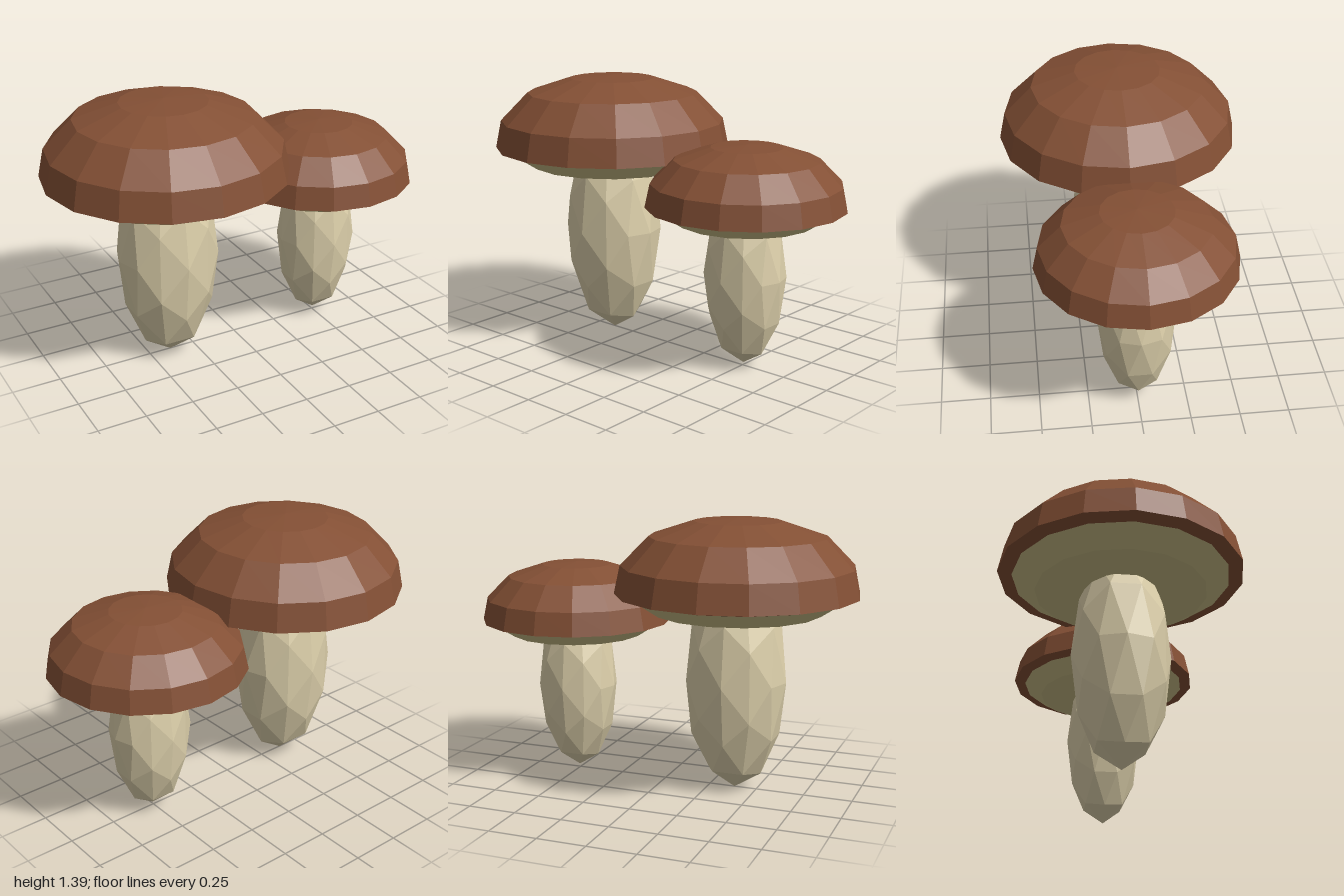
import * as THREE from 'three';

const flat = (name, color) => {
  const m = new THREE.MeshStandardMaterial({ color, flatShading: true });
  m.name = name;
  return m;
};

// Faceted solid of revolution from [radius, height] pairs, listed bottom to top
function lathe(name, points, material) {
  const profile = points.map(([r, y]) => new THREE.Vector2(r, y));
  const mesh = new THREE.Mesh(new THREE.LatheGeometry(profile, 16), material);
  mesh.name = name;
  return mesh;
}

export function createModel() {
  const capBrown = flat('capBrown', 0x845035);
  const stemCream = flat('stemCream', 0xdccfaa);
  const gillOlive = flat('gillOlive', 0xc8bc85);

  function mushroom(name, x, capProfile, gillProfile, stem) {
    const group = new THREE.Group();
    group.name = name;
    group.position.x = x;

    // Domed cap with a narrow turned-under rim, closed below by the gills
    group.add(lathe('cap', capProfile, capBrown), lathe('gills', gillProfile, gillOlive));

    // Egg-shaped faceted stem
    const geometry = new THREE.IcosahedronGeometry(1, 1);
    geometry.scale(stem.rx, stem.ry, stem.rz);
    const mesh = new THREE.Mesh(geometry, stemCream);
    mesh.name = 'stem';
    mesh.position.y = stem.y;
    group.add(mesh);
    return group;
  }

  const model = new THREE.Group();
  model.name = 'mushrooms';
  model.add(
    mushroom('largeMushroom', -0.383,
      [[0.545, 1.003], [0.617, 1.018], [0.587, 1.16], [0.445, 1.305], [0.22, 1.38], [0, 1.395]],
      [[0, 0.927], [0.43, 0.927], [0.545, 1.003]],
      { rx: 0.263, ry: 0.578, rz: 0.245, y: 0.578 }),
    mushroom('smallMushroom', 0.504,
      [[0.438, 0.816], [0.496, 0.828], [0.471, 0.945], [0.358, 1.06], [0.178, 1.12], [0, 1.132]],
      [[0, 0.756], [0.346, 0.756], [0.438, 0.816]],
      { rx: 0.21, ry: 0.462, rz: 0.196, y: 0.478 })
  );
  return model;
}
